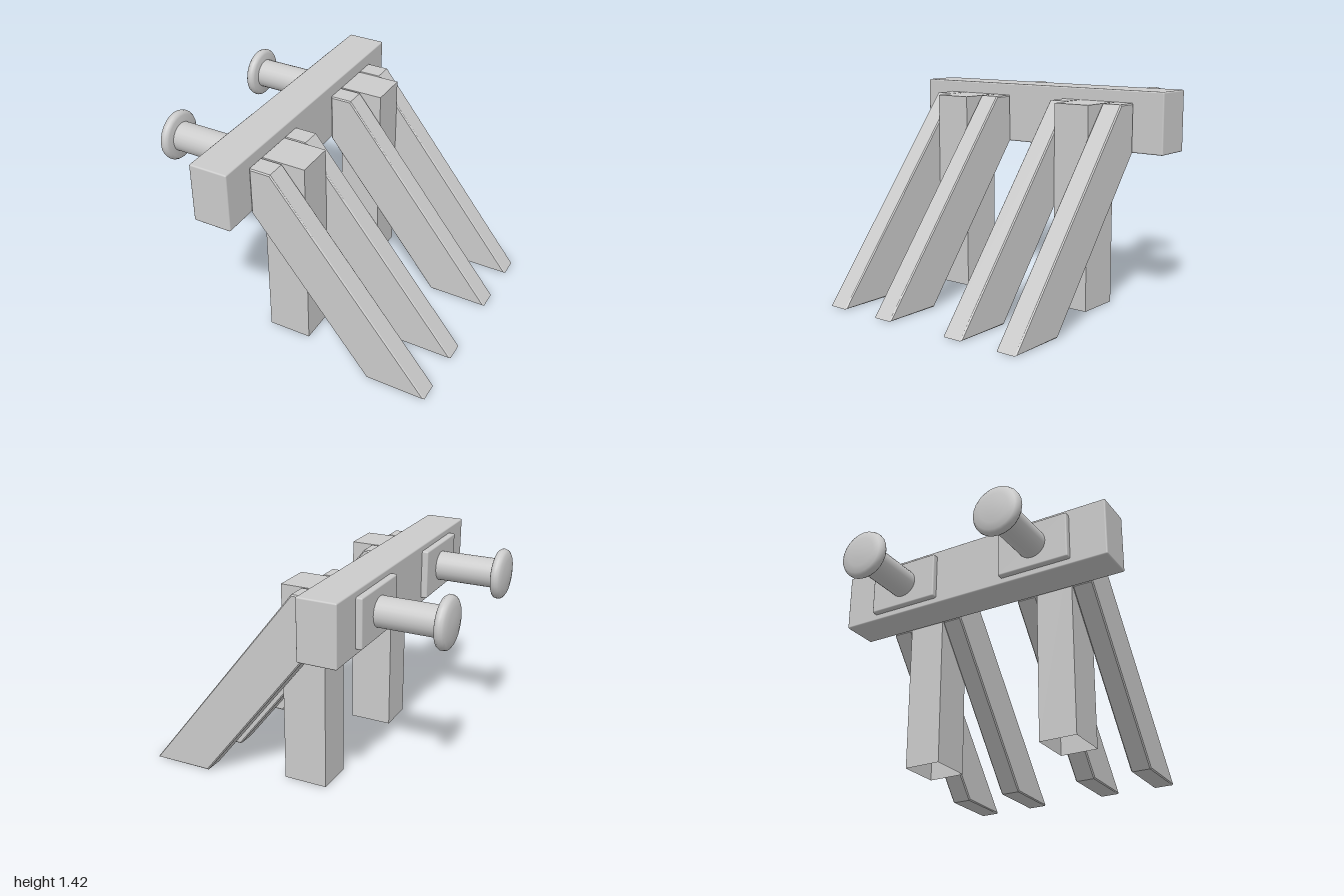
import * as THREE from 'three';
import { RoundedBoxGeometry } from 'three/addons/geometries/RoundedBoxGeometry.js';
import { toCreasedNormals } from 'three/addons/utils/BufferGeometryUtils.js';

const grey = new THREE.MeshStandardMaterial({ color: 0xcccccc });
const greyOpen = new THREE.MeshStandardMaterial({ color: 0xcccccc, side: THREE.DoubleSide });

function part(name, geometry, x = 0, y = 0, z = 0, material = grey) {
  const mesh = new THREE.Mesh(geometry, material);
  mesh.name = name;
  mesh.position.set(x, y, z);
  return mesh;
}

// Upright timber, left open at its foot
function postGeometry() {
  const geometry = new THREE.BoxGeometry(0.295, 1.335, 0.257);
  const index = Array.from(geometry.index.array);
  index.splice(18, 6); // bottom face
  geometry.setIndex(index);
  return geometry;
}

// Sloping strut with flat top and foot and slightly bevelled edges
function braceGeometry() {
  const bevel = 0.008;
  const shape = new THREE.Shape([
    [-0.22, 1.02], [0.585, 0], [0.99, 0], [-0.075, 1.34], [-0.22, 1.34],
  ].map(([x, y]) => new THREE.Vector2(x, y)));
  const geometry = new THREE.ExtrudeGeometry(shape, {
    depth: 0.143 - 2 * bevel, bevelThickness: bevel, bevelSize: bevel,
    bevelOffset: -bevel, bevelSegments: 1,
  });
  geometry.translate(0, 0, -0.0715 + bevel);
  return geometry;
}

// Rounded, slightly domed disc facing -x
function headGeometry() {
  const profile = [
    [0, 0.918], [0.142, 0.918], [0.157, 0.924], [0.166, 0.938], [0.166, 0.955],
    [0.159, 0.972], [0.143, 0.983], [0.1, 0.992], [0.05, 0.998], [0, 1],
  ].map(([r, y]) => new THREE.Vector2(r, y));
  return toCreasedNormals(new THREE.LatheGeometry(profile, 24).rotateZ(Math.PI / 2), 0.8);
}

export function createModel() {
  const model = new THREE.Group();
  model.name = 'bufferStop';

  model.add(part('crossBeam', new RoundedBoxGeometry(0.26, 0.4, 1.995, 2, 0.01), -0.354, 1.22, 0));

  const post = postGeometry();
  const brace = braceGeometry();
  const plate = new RoundedBoxGeometry(0.06, 0.32, 0.5, 2, 0.01);
  const shaft = new THREE.CylinderGeometry(0.098, 0.098, 0.42, 24, 1, true).rotateZ(Math.PI / 2);
  const head = headGeometry();

  // Two identical supports, each carrying one buffer
  for (const [side, z] of [['front', 0.495], ['back', -0.505]]) {
    const support = new THREE.Group();
    support.name = side + 'Support';
    support.position.z = z;
    support.add(
      part('post', post, -0.0725, 0.6725, 0, greyOpen),
      part('innerBrace', brace, 0, 0, 0.205 * -Math.sign(z)),
      part('outerBrace', brace, 0, 0, 0.205 * Math.sign(z)),
      part('bufferPlate', plate, -0.495, 1.22, 0),
      part('bufferShaft', shaft, -0.72, 1.22, 0),
      part('bufferHead', head, 0, 1.222, 0),
    );
    model.add(support);
  }
  return model;
}
